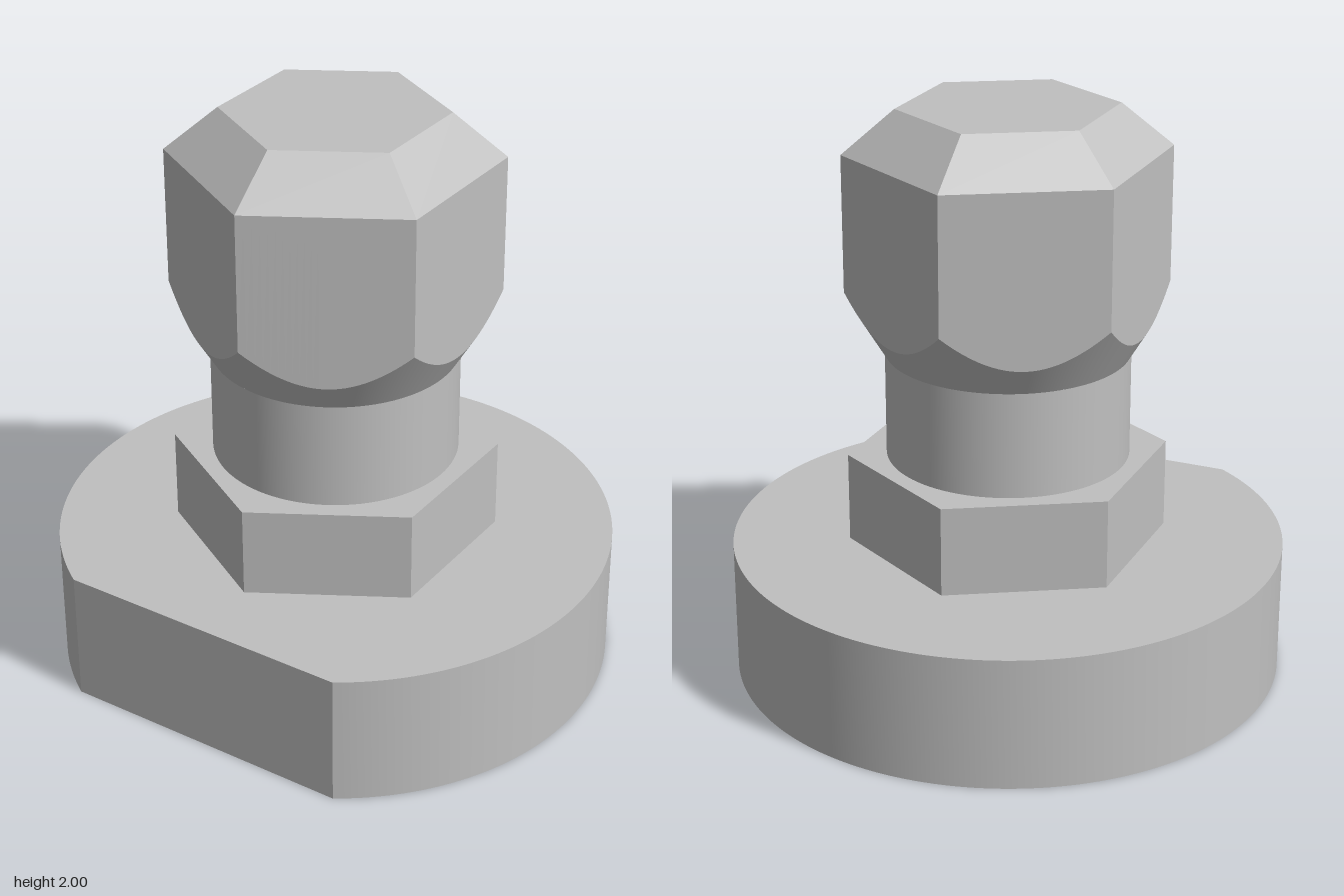
import * as THREE from 'three';
import { toCreasedNormals } from 'three/addons/utils/BufferGeometryUtils.js';

const AXIS_Z = 0.075;        // all parts share one vertical axis
const APOTHEM = 0.48;        // hexagon centre to flat
const HEX_R = APOTHEM / Math.cos(Math.PI / 6);
const NECK_R = 0.42;
const SEGMENTS = 144;        // multiple of six, so hexagon corners land on a vertex

// Closed band between two rings; each ring maps an angle to [radius, height].
function band(lower, upper, flat) {
  const positions = [], index = [];
  for (let i = 0; i < SEGMENTS; i++) {
    const t = (i / SEGMENTS) * Math.PI * 2;
    for (const [r, y] of [lower(t), upper(t)]) positions.push(r * Math.sin(t), y, r * Math.cos(t));
    const a = 2 * i, b = 2 * ((i + 1) % SEGMENTS);
    index.push(a, b, b + 1, a, b + 1, a + 1);
  }
  let geometry = new THREE.BufferGeometry();
  geometry.setAttribute('position', new THREE.Float32BufferAttribute(positions, 3));
  geometry.setIndex(index);
  if (flat) geometry = geometry.toNonIndexed();
  geometry.computeVertexNormals();
  return geometry;
}

// Six-sided prism or frustum with corners on +z and -z.
function hexPrism(topR, bottomR, y0, y1, open = false) {
  const geometry = new THREE.CylinderGeometry(topR, bottomR, y1 - y0, 6, 1, open);
  geometry.translate(0, (y0 + y1) / 2, 0);
  return toCreasedNormals(geometry, 0.3);
}

export function createModel() {
  const group = new THREE.Group();
  const metal = new THREE.MeshStandardMaterial({ color: 0xc0c0c0 });
  metal.name = 'light grey metal';

  const add = (name, geometry, parent = group) => {
    const mesh = new THREE.Mesh(geometry, metal);
    mesh.name = name;
    parent.add(mesh);
    return mesh;
  };

  // Round base with a flat cut across the front
  const baseR = 0.96;
  const cut = Math.acos(0.52 / baseR);
  const outline = new THREE.Shape();
  outline.absarc(0, 0, baseR, -cut, Math.PI + cut, false);
  outline.closePath();
  const base = new THREE.ExtrudeGeometry(outline, { depth: 0.465, bevelEnabled: false, curveSegments: 96 });
  base.rotateX(-Math.PI / 2);
  add('base', toCreasedNormals(base, 0.3));

  // Hexagonal collar and round neck
  add('collar', hexPrism(HEX_R, HEX_R, 0.465, 0.78));
  const neck = new THREE.CylinderGeometry(NECK_R, NECK_R, 0.37, 96, 1, true);
  neck.translate(0, 0.965, 0);
  add('neck', neck);

  // Head: cone under a hexagonal prism, meeting along scalloped edges
  const head = new THREE.Group();
  head.name = 'head';
  group.add(head);
  const side = Math.PI / 3;
  const hexRadius = (t) => APOTHEM / Math.cos((t % side) - side / 2);
  const neckRing = () => [NECK_R, 1.15];
  const scallop = (t) => [hexRadius(t), 1.15 + (hexRadius(t) - NECK_R) * 1.67];
  const shoulder = (t) => [hexRadius(t), 1.85];
  add('headCone', band(neckRing, scallop, false), head);
  add('headSides', band(scallop, shoulder, true), head);
  add('headBevel', hexPrism(0.375, HEX_R, 1.85, 2, false), head);

  for (const part of group.children) part.position.z = AXIS_Z;
  return group;
}
